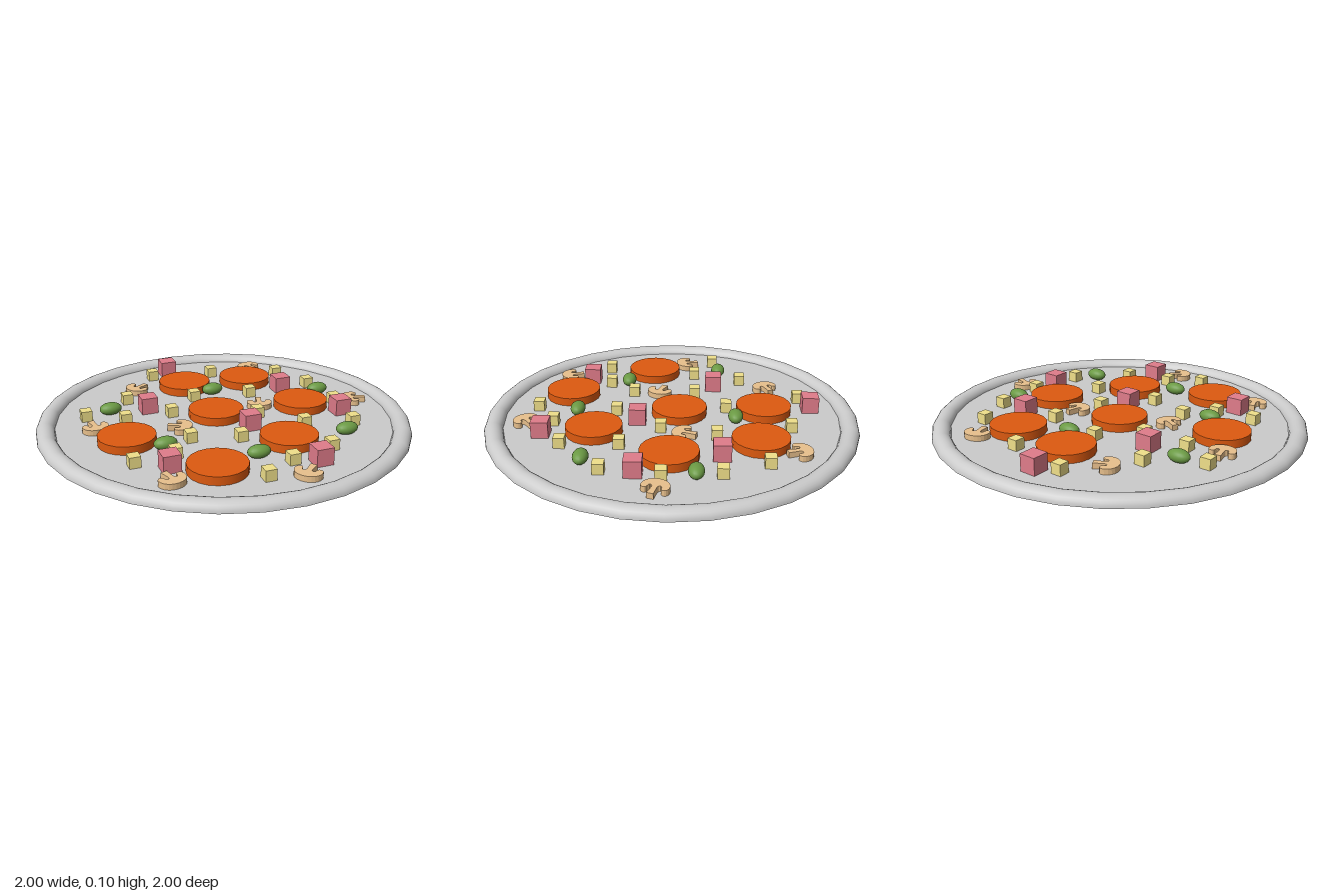
import * as THREE from 'three';

const SAUCE_Y = 0.01; // height of the flat top that the toppings rest on

function material(color) {
  return new THREE.MeshStandardMaterial({ color });
}

// Rounded rim: half an ellipse swept around the base
function rimGeometry() {
  const points = [];
  for (let i = 0; i <= 12; i++) {
    const a = (i / 12) * Math.PI;
    points.push(new THREE.Vector2(0.95 + 0.05 * Math.cos(a), 0.047 * Math.sin(a)));
  }
  return new THREE.LatheGeometry(points, 32);
}

// Mushroom slice lying flat, its stem pointing to +z
function mushroomGeometry() {
  const s = new THREE.Shape();
  s.moveTo(-0.017, -0.066);
  s.lineTo(0.017, -0.066);
  s.lineTo(0.013, -0.012);
  s.bezierCurveTo(0.012, 0.012, 0.036, 0.012, 0.034, -0.01);
  s.bezierCurveTo(0.034, -0.034, 0.07, -0.03, 0.07, 0.0);
  s.bezierCurveTo(0.07, 0.042, 0.036, 0.064, 0, 0.064);
  s.bezierCurveTo(-0.036, 0.064, -0.07, 0.042, -0.07, 0.0);
  s.bezierCurveTo(-0.07, -0.03, -0.034, -0.034, -0.034, -0.01);
  s.bezierCurveTo(-0.036, 0.012, -0.012, 0.012, -0.013, -0.012);
  s.closePath();
  const g = new THREE.ExtrudeGeometry(s, { depth: 0.03, bevelEnabled: false, curveSegments: 6 });
  return g.rotateX(-Math.PI / 2);
}

// Places copies of one topping; each spot is [x, z, optional turn]
function scatter(name, geometry, color, y, spots) {
  const group = new THREE.Group();
  group.name = name + 's';
  const mat = material(color);
  for (const [x, z, turn = 0] of spots) {
    const mesh = new THREE.Mesh(geometry, mat);
    mesh.name = name;
    mesh.position.set(x, y, z);
    mesh.rotation.y = turn;
    group.add(mesh);
  }
  return group;
}

export function createModel() {
  const model = new THREE.Group();
  model.name = 'pizza';

  // Dough: flat base and rounded crust
  const grey = material(0xcccccc);
  const base = new THREE.Mesh(new THREE.CylinderGeometry(0.902, 1, SAUCE_Y, 32), grey);
  base.name = 'base';
  base.position.y = SAUCE_Y / 2;
  const crust = new THREE.Mesh(rimGeometry(), grey);
  crust.name = 'crust';
  model.add(base, crust);

  // Salami slices
  model.add(scatter('salamiSlice', new THREE.CylinderGeometry(0.15, 0.15, 0.045, 20), 0xdd5a10, SAUCE_Y + 0.0225, [
    [-0.06, -0.5], [0.31, -0.46], [-0.03, -0.04], [0.46, 0], [-0.57, 0.12], [0.2, 0.4], [-0.25, 0.57],
  ]));

  // Ham cubes
  model.add(scatter('hamCube', new THREE.BoxGeometry(0.09, 0.09, 0.09), 0xe07c8a, SAUCE_Y + 0.045, [
    [-0.09, -0.755], [-0.36, -0.23], [0.455, -0.26], [0.08, 0.18], [0.62, 0.165], [-0.455, 0.48], [0.24, 0.67],
  ]));

  // Cheese cubes
  model.add(scatter('cheeseCube', new THREE.BoxGeometry(0.058, 0.058, 0.058), 0xf0e08a, SAUCE_Y + 0.029, [
    [-0.2, -0.7], [0.155, -0.63], [0.53, -0.49], [-0.44, -0.385], [-0.07, -0.295], [-0.705, -0.23],
    [0.25, -0.24], [0.63, -0.26], [-0.515, -0.12], [-0.257, -0.123], [0.175, 0.053], [0.655, 0.032],
    [-0.264, 0.22], [-0.02, 0.3], [0.36, 0.255], [-0.604, 0.385], [-0.39, 0.363], [0.608, 0.33],
    [0.36, 0.555], [0.114, 0.625], [-0.06, 0.73],
  ]));

  // Olives
  const olive = new THREE.SphereGeometry(1, 20, 14).scale(0.061, 0.034, 0.04);
  model.add(scatter('olive', olive, 0x6b9a44, SAUCE_Y + 0.032, [
    [-0.563, -0.263], [0.06, -0.343], [0.636, -0.134], [-0.41, 0.262], [-0.015, 0.513], [0.517, 0.427],
  ]));

  // Mushroom slices
  model.add(scatter('mushroomSlice', mushroomGeometry(), 0xe8c08c, SAUCE_Y, [
    [-0.34, -0.53, 2.05], [0.417, -0.645, 0.25], [-0.69, -0.075, 3.3], [-0.273, 0.075, -2.0],
    [0.24, -0.07, 2.85], [0.77, 0.053, 1.25], [-0.487, 0.61, -2.85], [0.123, 0.77, 2.3],
  ]));

  return model;
}
